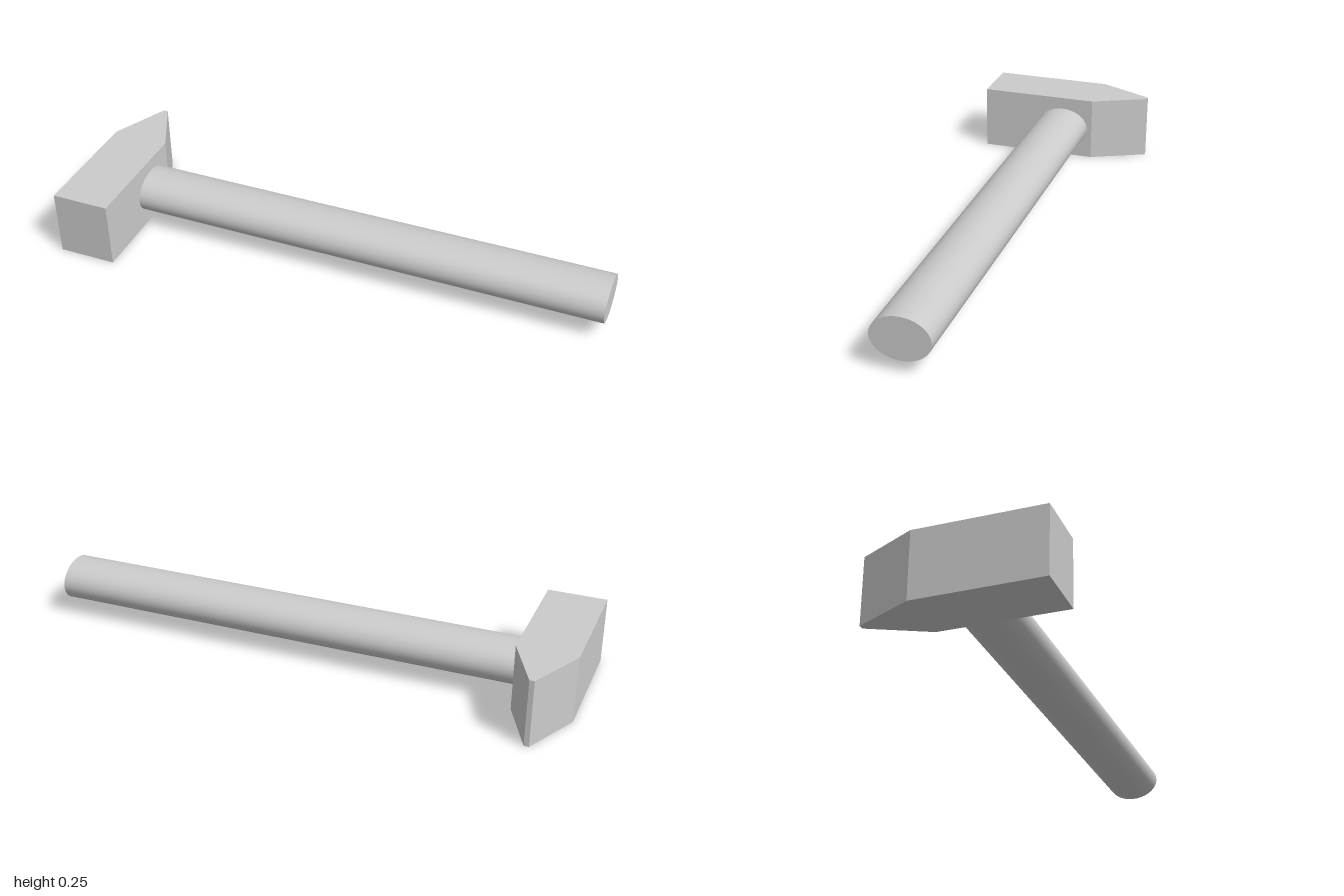
import * as THREE from 'three';

export function createModel() {
  const group = new THREE.Group();
  const headHeight = 0.249;

  // Head: plan outline (x, z) with a flat striking face and a wedge peen
  const outline = new THREE.Shape([
    [-1, 0.333], [-1, -0.125], [-0.901, -0.333],
    [-0.883, -0.333], [-0.784, -0.125], [-0.784, 0.333],
  ].map(([x, z]) => new THREE.Vector2(x, z)));
  const headGeometry = new THREE.ExtrudeGeometry(outline, { depth: headHeight, bevelEnabled: false });
  headGeometry.rotateX(Math.PI / 2).translate(0, headHeight, 0);
  const head = new THREE.Mesh(headGeometry, new THREE.MeshStandardMaterial({ color: 0xcccccc }));
  head.name = 'hammerHead';
  group.add(head);

  // Handle: oval bar running along x from the side of the head
  const start = -0.79, end = 1;
  const handleGeometry = new THREE.CylinderGeometry(1, 1, end - start, 64);
  handleGeometry.rotateZ(Math.PI / 2).scale(1, 0.0775, 0.104);
  const handle = new THREE.Mesh(handleGeometry, new THREE.MeshStandardMaterial({ color: 0xcccccc }));
  handle.name = 'handle';
  handle.position.set((start + end) / 2, headHeight / 2, 0);
  group.add(handle);

  return group;
}
